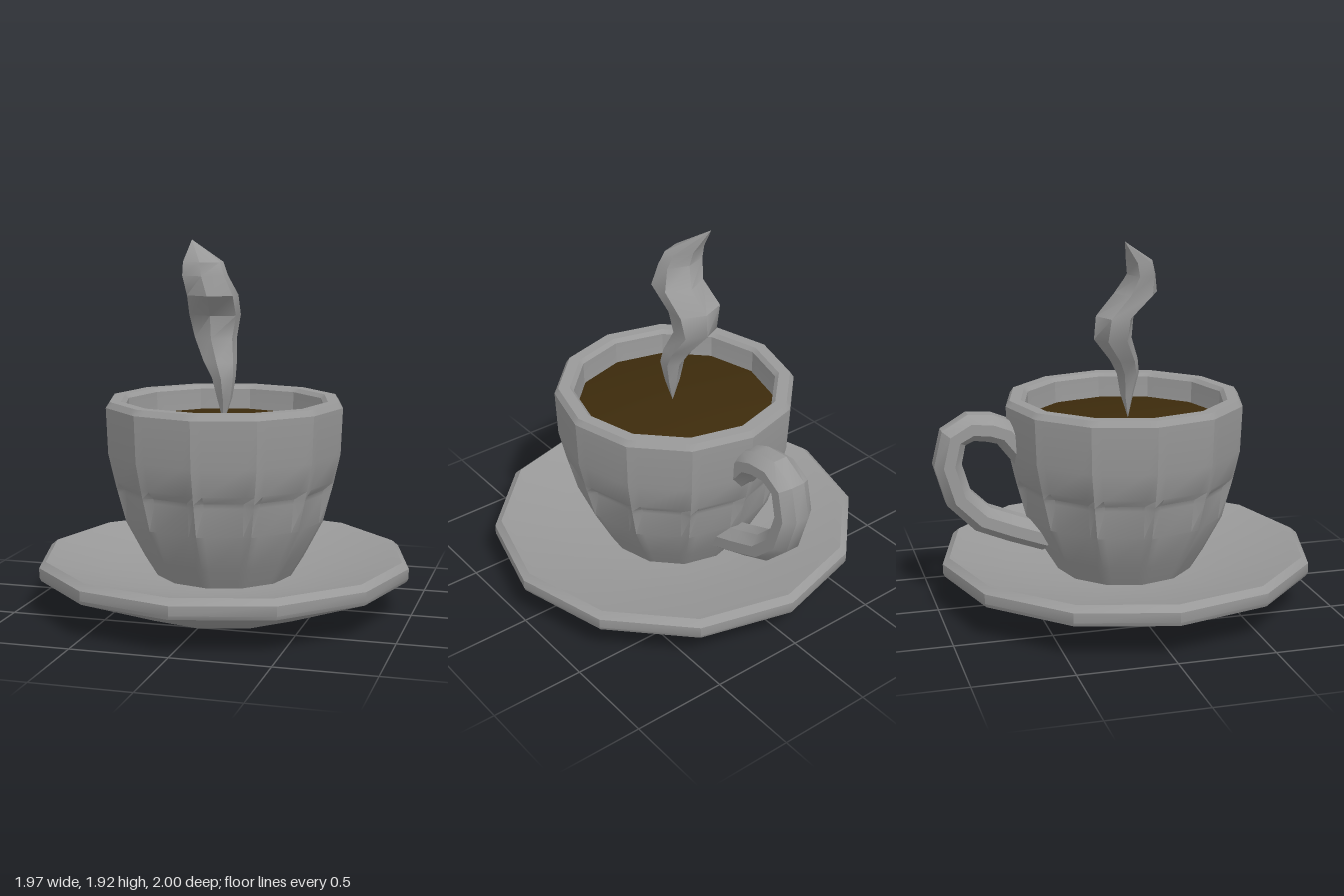
import * as THREE from 'three';
import { toCreasedNormals } from 'three/addons/utils/BufferGeometryUtils.js';

const SIDES = 12;

// Skins a stack of equal-length rings of points (counter-clockwise, going up)
function loft(rings, crease = 0.5) {
  const pos = [];
  const tri = (a, b, c) => {
    if (new THREE.Triangle(a, b, c).getArea() < 1e-7) return;
    for (const p of [a, b, c]) pos.push(p.x, p.y, p.z);
  };
  for (let i = 0; i < rings.length - 1; i++) {
    const lo = rings[i], hi = rings[i + 1], n = lo.length;
    for (let j = 0; j < n; j++) {
      const k = (j + 1) % n;
      tri(lo[j], lo[k], hi[k]);
      tri(lo[j], hi[k], hi[j]);
    }
  }
  const geometry = new THREE.BufferGeometry();
  geometry.setAttribute('position', new THREE.Float32BufferAttribute(pos, 3));
  return toCreasedNormals(geometry, crease);
}

// Horizontal elliptical ring
function ring(n, y, rx, rz = rx, x = 0, z = 0) {
  return Array.from({ length: n }, (_, j) => {
    const a = (j / n) * Math.PI * 2;
    return new THREE.Vector3(x + rx * Math.sin(a), y, z + rz * Math.cos(a));
  });
}

// Twelve-sided ring whose panels can be pressed in between the corners
function panelRing([r, y, dent = 0]) {
  const points = [], step = (Math.PI * 2) / SIDES;
  for (let s = 0; s < SIDES; s++) {
    for (const t of [0, 0.15, 0.85]) {
      const flat = r * Math.cos(step / 2) / Math.cos((t - 0.5) * step);
      const radius = t === 0 ? r : flat - dent;
      const a = (s + t) * step;
      points.push(new THREE.Vector3(radius * Math.sin(a), y, radius * Math.cos(a)));
    }
  }
  return points;
}

export function createModel() {
  const group = new THREE.Group();
  const grey = new THREE.MeshStandardMaterial({ color: 0x999999 });
  grey.name = 'grey';
  const brown = new THREE.MeshStandardMaterial({ color: 0x3d2b0c });
  brown.name = 'coffeeBrown';

  const add = (name, geometry, material, z = 0) => {
    const mesh = new THREE.Mesh(geometry, material);
    mesh.name = name;
    mesh.position.z = z;
    group.add(mesh);
  };

  // Saucer: recessed foot, flared underside, rounded rim, sunken top
  const saucer = [
    [0, 0.015], [0.45, 0.015], [0.47, 0], [0.5, 0], [0.975, 0.18], [0.985, 0.2],
    [0.985, 0.25], [0.95, 0.28], [0.91, 0.27], [0.65, 0.205], [0.4, 0.17], [0, 0.16],
  ];
  add('saucer', loft(saucer.map(([r, y]) => ring(SIDES, y, r))), grey, 0.015);

  // Cup: outer wall with a pressed band, rounded rim, inner wall and floor
  const cup = [
    [0, 0.165], [0.36, 0.165], [0.43, 0.28], [0.53, 0.47], [0.57, 0.62, 0.025],
    [0.577, 0.645, 0.025], [0.587, 0.685], [0.62, 0.83], [0.63, 1.07], [0.61, 1.1],
    [0.55, 1.1], [0.53, 1.08], [0.525, 0.9], [0.45, 0.5], [0.3, 0.25], [0, 0.25],
  ];
  add('cup', loft(cup.map(panelRing)), grey, 0.008);

  // Coffee surface
  const coffee = [[0.526, 0.945], [0.522, 0.965], [0.5, 0.972], [0, 0.972]];
  add('coffee', loft(coffee.map(([r, y]) => ring(SIDES, y, r))), brown, 0.008);

  // Handle: eight-sided section swept along a loop behind the cup, as [z, y]
  const path = [
    [-0.52, 0.8], [-0.63, 0.94], [-0.71, 0.97], [-0.81, 0.98], [-0.9, 0.93],
    [-0.933, 0.79], [-0.88, 0.61], [-0.76, 0.49], [-0.6, 0.425], [-0.42, 0.36],
  ].map(([z, y]) => new THREE.Vector3(0, y, z));
  const across = new THREE.Vector3(1, 0, 0);
  const handle = path.map((p, i) => {
    const tangent = path[Math.min(i + 1, path.length - 1)].clone()
      .sub(path[Math.max(i - 1, 0)]).normalize();
    const side = tangent.cross(across);
    return Array.from({ length: 8 }, (_, j) => {
      const a = ((j + 0.5) / 8) * Math.PI * 2;
      return p.clone().addScaledVector(across, 0.102 * Math.cos(a))
        .addScaledVector(side, 0.077 * Math.sin(a));
    });
  });
  const cap = (i) => handle[i].map(() => path[i]);
  add('handle', loft([cap(0), ...handle, cap(path.length - 1)], 0.6), grey);

  // Steam: wavering plume, as [y, x, z, width radius, depth radius]
  const steam = [
    [0.97, 0, 0.03, 0, 0], [1.1, 0.005, 0.025, 0.038, 0.036], [1.21, 0.002, 0.03, 0.06, 0.06],
    [1.29, -0.025, 0, 0.085, 0.075], [1.41, -0.068, -0.07, 0.108, 0.1],
    [1.53, -0.07, -0.06, 0.135, 0.1], [1.64, -0.05, 0.055, 0.13, 0.115],
    [1.74, -0.085, 0.075, 0.12, 0.075], [1.81, -0.1, 0.06, 0.105, 0.07],
    [1.92, -0.19, -0.04, 0, 0],
  ];
  add('steam', loft(steam.map(([y, x, z, rx, rz]) => ring(6, y, rx * 1.08, rz, x, z)), 0.7), grey);

  return group;
}
